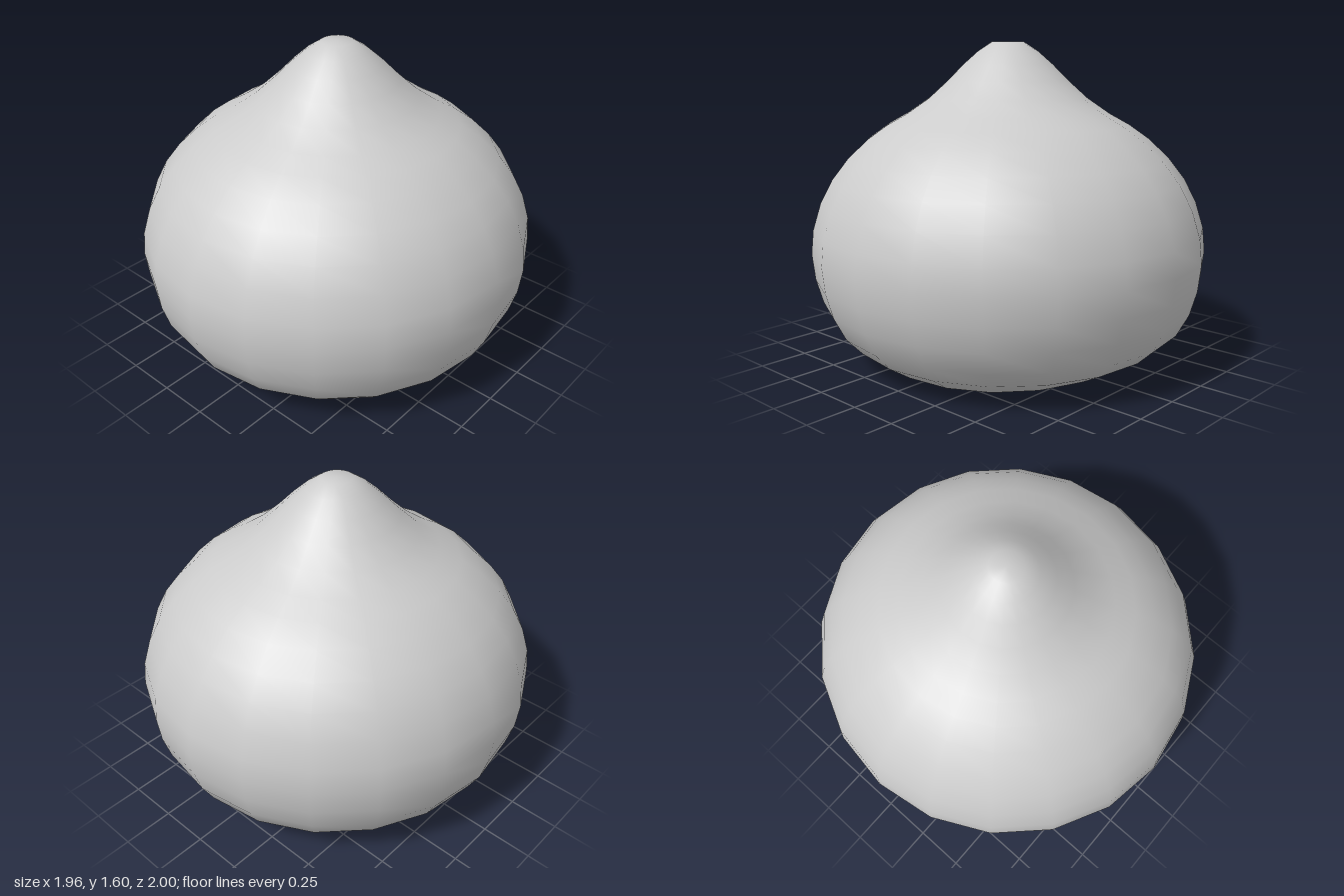
import * as THREE from 'three';
import { mergeVertices } from 'three/addons/utils/BufferGeometryUtils.js';

export function createModel() {
  const group = new THREE.Group();
  group.name = 'bulb';

  // Profile from the underside to the tip: radius, height
  const profile = [
    [0, 0.065], [0.22, 0.064], [0.41, 0.062], [0.56, 0.067], [0.69, 0.09],
    [0.81, 0.14], [0.89, 0.21], [0.95, 0.32], [0.985, 0.44], [1, 0.57],
    [0.988, 0.69], [0.948, 0.82], [0.888, 0.935], [0.81, 1.035], [0.71, 1.13],
    [0.61, 1.2], [0.51, 1.255], [0.4, 1.33], [0.305, 1.415], [0.225, 1.495],
    [0.15, 1.56], [0.08, 1.605], [0, 1.605],
  ].map(([r, y]) => new THREE.Vector2(r, y));

  let geometry = new THREE.LatheGeometry(profile, 20);

  // Tilt the underside, fading out towards the belly; the body is slightly narrower across x
  const pos = geometry.attributes.position;
  for (let i = 0; i < pos.count; i++) {
    const x = pos.getX(i), y = pos.getY(i), z = pos.getZ(i);
    const fade = y < 0.3 ? 1 - THREE.MathUtils.smoothstep(Math.hypot(x, z), 0.42, 0.95) : 0;
    pos.setXYZ(i, x * 0.98, y + fade * (-0.13 * x + 0.03 * z), z);
  }

  // Weld the seam and poles so the shading is smooth all round
  geometry.deleteAttribute('normal');
  geometry.deleteAttribute('uv');
  geometry = mergeVertices(geometry, 1e-4);
  geometry.computeVertexNormals();

  // Stand the tilted base on the ground
  geometry.computeBoundingBox();
  geometry.translate(0, -geometry.boundingBox.min.y, 0);

  const body = new THREE.Mesh(geometry, new THREE.MeshStandardMaterial({ color: 0xcccccc }));
  body.name = 'body';
  group.add(body);
  return group;
}
